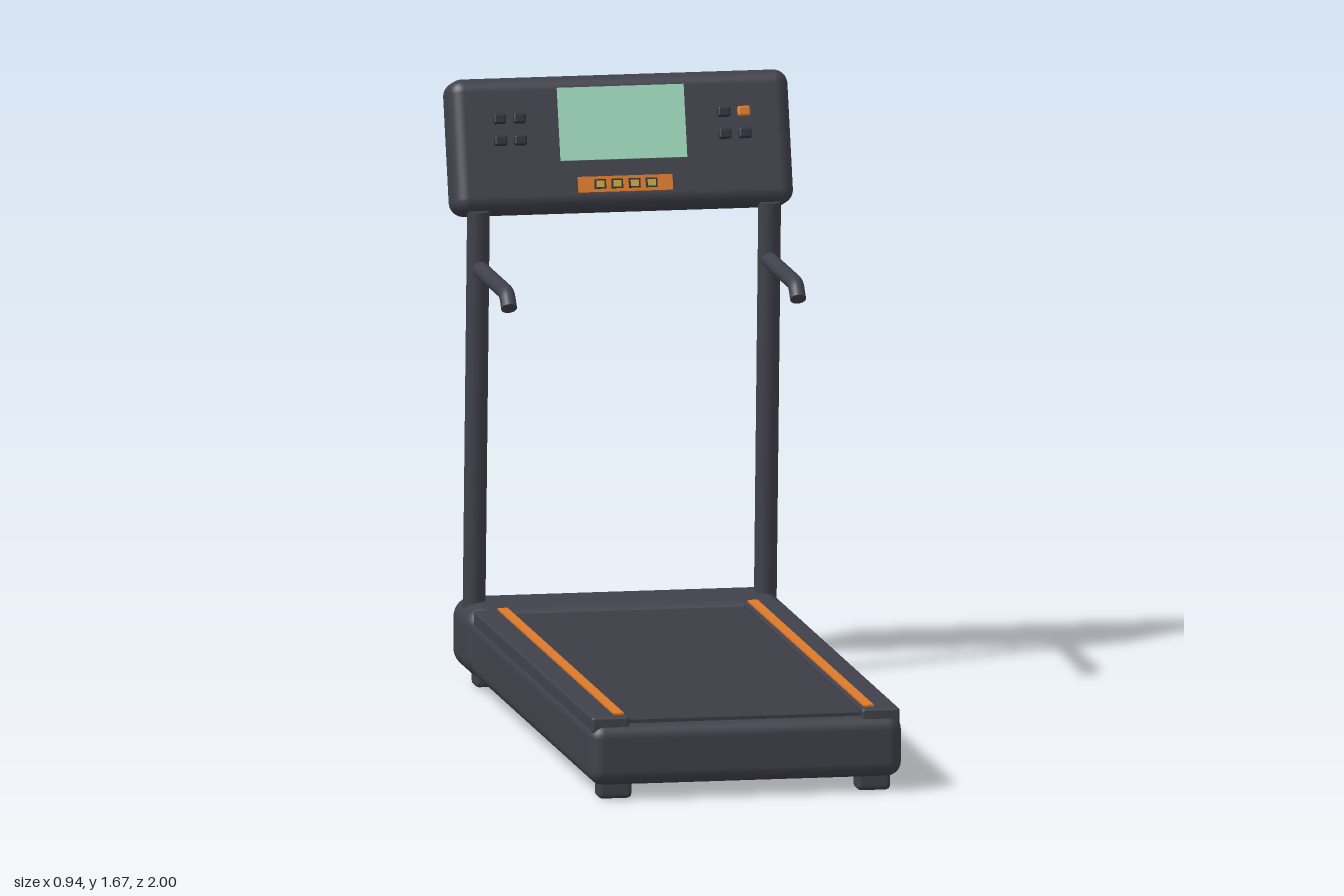
import * as THREE from 'three';
import { RoundedBoxGeometry } from 'three/addons/geometries/RoundedBoxGeometry.js';

const mat = (name, color) => {
  const m = new THREE.MeshStandardMaterial({ color });
  m.name = name;
  return m;
};

export function createModel() {
  const body = mat('charcoal body', 0x41414c);
  const belt = mat('belt grey', 0x3c3c45);
  const dark = mat('dark button', 0x30303a);
  const orange = mat('orange trim', 0xdd7a2a);
  const yellow = mat('yellow key', 0xc9a83c);
  const mint = mat('mint screen', 0xa2dcc0);

  const model = new THREE.Group();
  model.name = 'treadmill';

  const add = (parent, name, geometry, material, x, y, z) => {
    const mesh = new THREE.Mesh(geometry, material);
    mesh.name = name;
    mesh.position.set(x, y, z);
    parent.add(mesh);
    return mesh;
  };
  const rounded = (w, h, d, r, seg = 4) => new RoundedBoxGeometry(w, h, d, seg, r);
  const box = (w, h, d) => new THREE.BoxGeometry(w, h, d);

  // Deck, running belt and motor hood
  add(model, 'deck', rounded(0.865, 0.17, 1.79, 0.04), body, 0, 0.125, 0.105);
  add(model, 'belt', box(0.65, 0.02, 1.74), belt, 0, 0.208, 0.1);
  add(model, 'motorHood', rounded(0.893, 0.197, 0.255, 0.055, 6), body, 0, 0.1385, -0.857);

  for (const s of [-1, 1]) {
    // Side rails with their trim strips
    add(model, 'sideRail', rounded(0.105, 0.045, 1.735, 0.008, 2), body, s * 0.374, 0.207, 0.1175);
    add(model, 'railStripe', box(0.028, 0.006, 1.7), orange, s * 0.346, 0.232, 0.102);

    // Feet
    for (const z of [0.933, -0.868])
      add(model, 'foot', rounded(0.094, 0.06, 0.068, 0.014, 2), body, s * 0.358, 0.03, z);

    // Leaning upright
    const low = new THREE.Vector3(s * 0.403, 0.2, -0.864);
    const high = new THREE.Vector3(s * 0.403, 1.325, -0.799);
    const dir = high.clone().sub(low);
    const mid = low.clone().add(high).multiplyScalar(0.5);
    const post = add(model, 'upright', new THREE.CylinderGeometry(0.031, 0.031, dir.length(), 24),
      body, mid.x, mid.y, mid.z);
    post.quaternion.setFromUnitVectors(new THREE.Vector3(0, 1, 0), dir.normalize());

    // Handle: straight bar that bends down at its end
    const path = new THREE.CurvePath();
    const p = (y, z) => new THREE.Vector3(s * 0.4, y, z);
    path.add(new THREE.LineCurve3(p(1.165, -0.81), p(1.165, -0.43)));
    path.add(new THREE.QuadraticBezierCurve3(p(1.165, -0.43), p(1.165, -0.4), p(1.148, -0.385)));
    path.add(new THREE.LineCurve3(p(1.148, -0.385), p(1.128, -0.366)));
    add(model, 'handle', new THREE.TubeGeometry(path, 60, 0.022, 16), body, 0, 0, 0);
    const cap = add(model, 'handleEnd', new THREE.CircleGeometry(0.022, 16), body, s * 0.4, 1.128, -0.366);
    cap.quaternion.setFromUnitVectors(new THREE.Vector3(0, 0, 1), path.getTangent(1));
  }

  // Tilted console; its details sit on the local front face
  const consoleGroup = new THREE.Group();
  consoleGroup.name = 'console';
  consoleGroup.position.set(0, 1.4825, -0.887);
  consoleGroup.rotation.x = -0.28;
  model.add(consoleGroup);
  const face = 0.0715;
  add(consoleGroup, 'consoleBody', rounded(0.94, 0.369, 0.143, 0.04, 6), body, 0, 0, 0);
  add(consoleGroup, 'screen', box(0.35, 0.2, 0.008), mint, 0, 0.0486, face + 0.003);

  // Key strip
  add(consoleGroup, 'keyStrip', box(0.26, 0.043, 0.016), orange, 0, -0.119, face + 0.006);
  for (const x of [-0.071, -0.024, 0.024, 0.071]) {
    add(consoleGroup, 'keyFrame', box(0.032, 0.026, 0.004), dark, x, -0.119, face + 0.015);
    add(consoleGroup, 'key', box(0.022, 0.018, 0.006), yellow, x, -0.119, face + 0.017);
  }

  // Two clusters of buttons, the outer top one on the left in orange
  for (const x of [-0.338, -0.283, 0.283, 0.338])
    for (const y of [0.069, 0.009])
      add(consoleGroup, 'button', rounded(0.035, 0.028, 0.02, 0.006, 2),
        x > 0.3 && y > 0.05 ? orange : dark, x, y, face + 0.003);

  return model;
}
